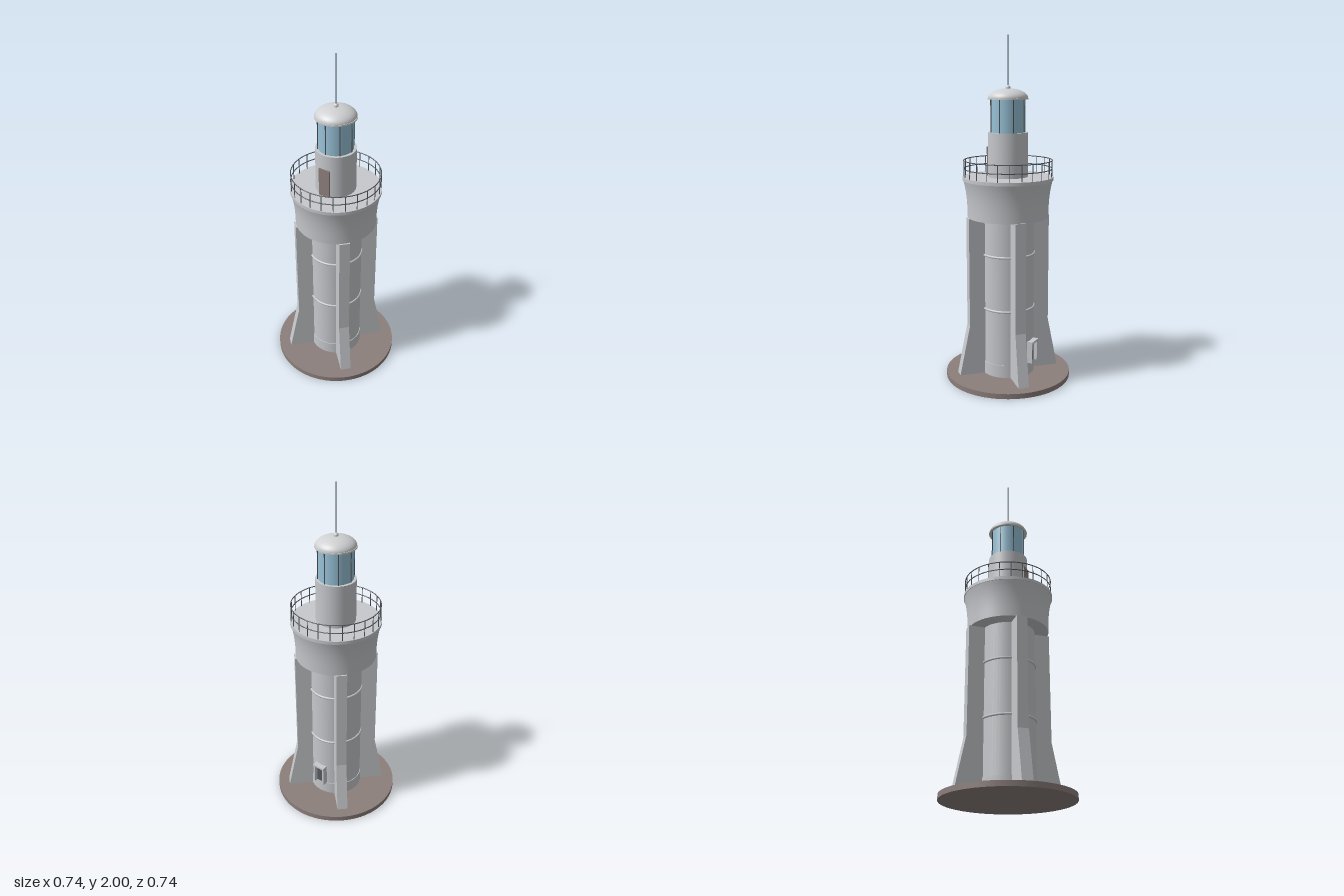
import * as THREE from 'three';

const mat = (name, color) => {
  const m = new THREE.MeshStandardMaterial({ color });
  m.name = name;
  return m;
};

export function createModel() {
  const wall = mat('pale grey wall', 0xc6c8cc);
  const brown = mat('brown stone', 0x8c7f7c);
  const glass = mat('blue glass', 0x98c2d8);
  const metal = mat('dark metal', 0x55595e);
  const roof = mat('light roof', 0xd0d1d2);

  const model = new THREE.Group();
  model.name = 'lighthouse';

  const add = (name, geometry, material, x = 0, y = 0, z = 0, parent = model) => {
    const mesh = new THREE.Mesh(geometry, material);
    mesh.name = name;
    mesh.position.set(x, y, z);
    parent.add(mesh);
    return mesh;
  };
  // Upright round part between two heights
  const drum = (name, r, y0, y1, material, sides = 48) =>
    add(name, new THREE.CylinderGeometry(r, r, y1 - y0, sides), material, 0, (y0 + y1) / 2, 0);
  // Horizontal hoop
  const hoop = (name, r, tube, y, material) => {
    const g = new THREE.TorusGeometry(r, tube, 8, 64);
    g.rotateX(Math.PI / 2);
    return add(name, g, material, 0, y, 0);
  };

  // Base and shaft
  drum('base', 0.37, 0, 0.03, brown, 64);
  drum('shaft', 0.153, 0.03, 0.98, wall);
  drum('shaftCollar', 0.157, 0.03, 0.105, wall);
  for (const y of [0.432, 0.755]) hoop('shaftBand', 0.154, 0.007, y, wall);

  // Four diagonal buttresses with flared feet
  const thick = 0.062;
  const profile = new THREE.Shape([
    [0.1, 0.03], [0.304, 0.03], [0.243, 0.33], [0.243, 0.972], [0.1, 0.972],
  ].map(([r, y]) => new THREE.Vector2(r, y)));
  const finGeo = new THREE.ExtrudeGeometry(profile, { depth: thick, bevelEnabled: false });
  finGeo.translate(0, 0, -thick / 2);
  for (let i = 0; i < 4; i++) {
    add('buttress', finGeo, wall).rotation.y = Math.PI / 4 + (i * Math.PI) / 2;
  }

  // Back doorway: jambs, lintel and recessed dark door
  const doorway = new THREE.Group();
  doorway.name = 'backDoorway';
  model.add(doorway);
  for (const s of [-1, 1]) {
    add('jamb', new THREE.BoxGeometry(0.012, 0.12, 0.05), wall, s * 0.034, 0.165, -0.155, doorway);
  }
  add('lintel', new THREE.BoxGeometry(0.08, 0.012, 0.055), wall, 0, 0.23, -0.157, doorway);
  add('backDoor', new THREE.BoxGeometry(0.056, 0.12, 0.008), metal, 0, 0.165, -0.153, doorway);

  // Flared gallery
  const flare = new THREE.SplineCurve([
    [0.235, 0.97], [0.237, 1.04], [0.242, 1.1], [0.25, 1.15], [0.259, 1.188],
  ].map(([r, y]) => new THREE.Vector2(r, y)));
  add('gallery', new THREE.LatheGeometry(flare.getPoints(12), 64), wall);
  drum('galleryUnderside', 0.235, 0.97, 0.975, wall, 64);
  drum('galleryDeck', 0.262, 1.186, 1.205, wall, 64);

  // Railing
  const railR = 0.255;
  for (const y of [1.252, 1.3]) hoop('rail', railR, 0.0028, y, metal);
  const postGeo = new THREE.CylinderGeometry(0.0025, 0.0025, 0.096, 6);
  const posts = 24;
  for (let i = 0; i < posts; i++) {
    const a = (i / posts) * Math.PI * 2;
    add('railPost', postGeo, metal, Math.sin(a) * railR, 1.253, Math.cos(a) * railR);
  }

  // Watch room and its door
  drum('watchRoom', 0.115, 1.2, 1.46, wall);
  add('watchRoomDoor', new THREE.BoxGeometry(0.068, 0.17, 0.008), brown, 0, 1.29, 0.117);

  // Lantern with glazing bars
  drum('lanternGlass', 0.099, 1.46, 1.65, glass);
  const barGeo = new THREE.BoxGeometry(0.004, 0.19, 0.008);
  for (let i = 0; i < 8; i++) {
    const a = (i * Math.PI) / 4;
    add('glazingBar', barGeo, metal, Math.sin(a) * 0.1, 1.555, Math.cos(a) * 0.1).rotation.y = a;
  }

  // Roof dome, finial ball and spire
  drum('roofEave', 0.117, 1.645, 1.654, roof);
  const dome = add('roofDome',
    new THREE.SphereGeometry(0.114, 48, 16, 0, Math.PI * 2, 0, Math.PI / 2), roof, 0, 1.652, 0);
  dome.scale.y = 0.48;
  add('finialBall', new THREE.SphereGeometry(0.014, 20, 14), roof, 0, 1.71, 0);
  drum('spire', 0.003, 1.71, 2, metal, 8);

  return model;
}
